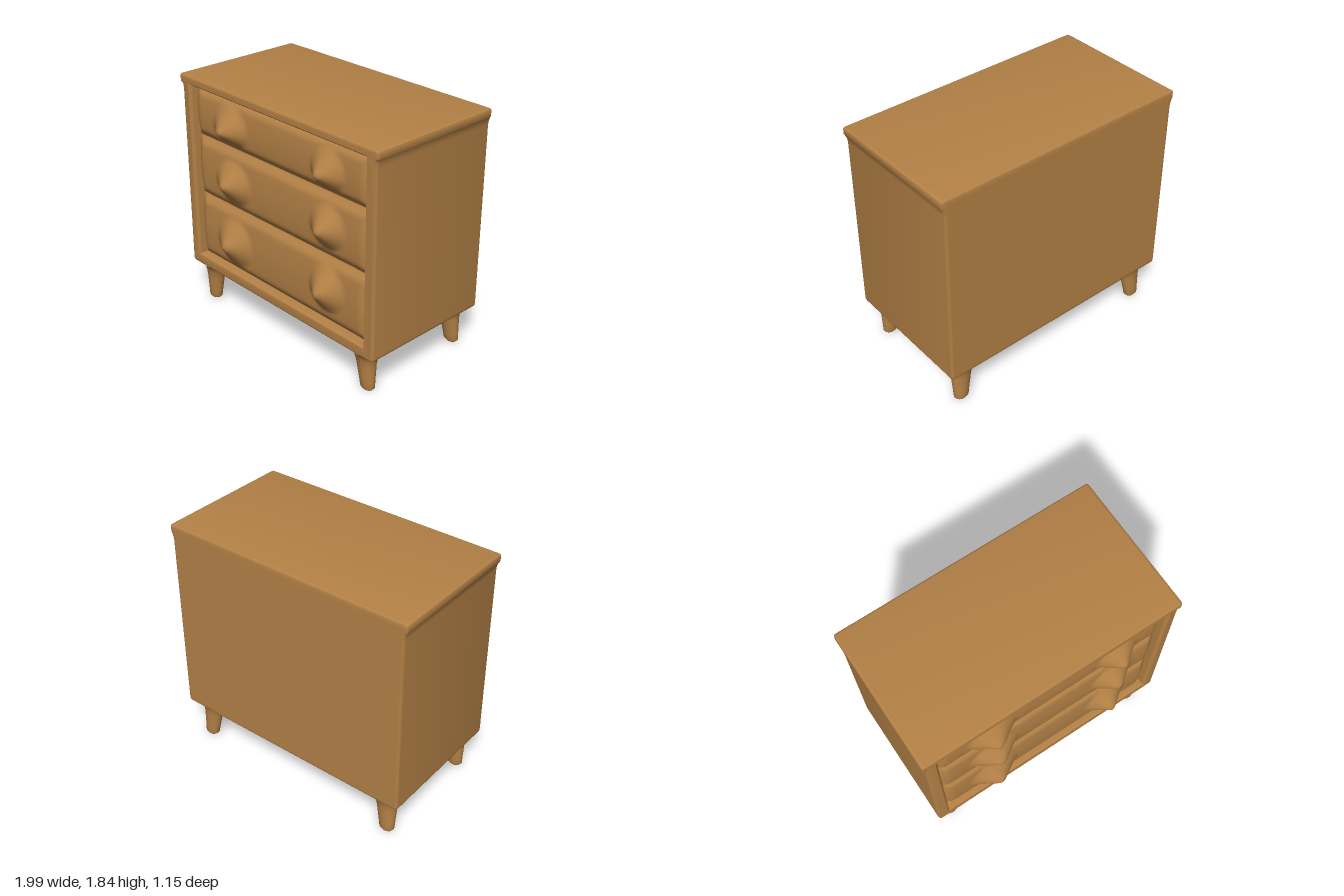
import * as THREE from 'three';
import { toCreasedNormals } from 'three/addons/utils/BufferGeometryUtils.js';

const wood = new THREE.MeshStandardMaterial({ color: 0xb48146 });
wood.name = 'warm wood';

const HOLE = { x: 0.885, bottom: 0.4, top: 1.765 };

function add(group, name, geometry) {
  const mesh = new THREE.Mesh(geometry, wood);
  mesh.name = name;
  group.add(mesh);
  return mesh;
}

// Cabinet shell: front outline with a flared top edge and an opening for the drawers
function shellGeometry() {
  const s = new THREE.Shape();
  s.moveTo(-0.95, 0.31);
  s.lineTo(0.95, 0.31);
  s.quadraticCurveTo(0.98, 0.31, 0.98, 0.345);
  s.lineTo(0.977, 1.72);
  s.quadraticCurveTo(0.98, 1.755, 0.996, 1.785);
  s.lineTo(0.996, 1.82);
  s.quadraticCurveTo(0.996, 1.838, 0.975, 1.838);
  s.lineTo(-0.975, 1.838);
  s.quadraticCurveTo(-0.996, 1.838, -0.996, 1.82);
  s.lineTo(-0.996, 1.785);
  s.quadraticCurveTo(-0.98, 1.755, -0.977, 1.72);
  s.lineTo(-0.98, 0.345);
  s.quadraticCurveTo(-0.98, 0.31, -0.95, 0.31);

  const hole = new THREE.Path();
  hole.moveTo(-HOLE.x, HOLE.bottom);
  hole.lineTo(-HOLE.x, HOLE.top);
  hole.lineTo(HOLE.x, HOLE.top);
  hole.lineTo(HOLE.x, HOLE.bottom);
  hole.closePath();
  s.holes.push(hole);

  const bevel = 0.018;
  const geo = new THREE.ExtrudeGeometry(s, {
    depth: 1.064 - 2 * bevel, curveSegments: 5,
    bevelEnabled: true, bevelSize: bevel, bevelThickness: bevel,
    bevelOffset: -bevel, bevelSegments: 3,
  });
  geo.translate(0, 0, -0.574 + bevel);
  // the top edge overhangs the front slightly
  const p = geo.attributes.position;
  for (let i = 0; i < p.count; i++) {
    if (p.getY(i) > 1.775 && p.getZ(i) > 0) p.setZ(i, p.getZ(i) + 0.01);
  }
  return toCreasedNormals(geo, 0.7);
}

// Pulls: [x, y, half width, reach below, reach above]
const pulls = [
  [-0.47, 1.54, 0.19, 0.13, 0.18], [0.52, 1.54, 0.16, 0.13, 0.17],
  [-0.46, 1.13, 0.20, 0.17, 0.17], [0.52, 1.14, 0.17, 0.16, 0.17],
  [-0.47, 0.64, 0.20, 0.19, 0.20], [0.51, 0.67, 0.17, 0.18, 0.19],
];

// Depth of a drawer front: sunken rim, soft bulge and a pointed pull
function drawerDepth(x, y, y0, y1) {
  const rim = Math.exp(-Math.pow((HOLE.x - Math.abs(x)) / 0.035, 2));
  const groove = Math.exp(-Math.pow(Math.min(y - y0, y1 - y) / 0.035, 2));
  const t = (y - y0) / (y1 - y0);
  let z = 0.452 + 0.016 * Math.sin(Math.PI * t) - 0.035 * Math.max(rim, groove);
  for (const [px, py, w, below, above] of pulls) {
    const d = Math.hypot((x - px) / w, (y - py) / (y < py ? below : above));
    if (d < 1) z += 0.112 * Math.min(1, 1.12 * Math.pow(1 - d, 1.15));
  }
  return z;
}

function drawerGeometry(y0, y1) {
  const geo = new THREE.PlaneGeometry(2 * HOLE.x, y1 - y0, 88, 28);
  geo.translate(0, (y0 + y1) / 2, 0);
  const p = geo.attributes.position;
  for (let i = 0; i < p.count; i++) {
    p.setZ(i, drawerDepth(p.getX(i), p.getY(i), y0, y1));
  }
  geo.computeVertexNormals();
  return geo;
}

// Tapered leg with a flared root, leaning by lean (x, z) towards the foot
function legGeometry(leanX, leanZ) {
  const profile = [
    [0.001, 0], [0.042, 0.003], [0.058, 0.02], [0.064, 0.08],
    [0.078, 0.2], [0.09, 0.26], [0.115, 0.297], [0.15, 0.325],
  ].map(([r, y]) => new THREE.Vector2(r, y));
  const geo = new THREE.LatheGeometry(profile, 20);
  const p = geo.attributes.position;
  for (let i = 0; i < p.count; i++) {
    const down = 1 - p.getY(i) / 0.31;
    p.setX(i, p.getX(i) + leanX * down);
    p.setZ(i, p.getZ(i) * 0.74 + leanZ * down);
  }
  geo.computeVertexNormals();
  return geo;
}

export function createModel() {
  const model = new THREE.Group();
  model.name = 'chest of drawers';

  add(model, 'cabinet', shellGeometry());

  // Back panel closing the cabinet
  const back = add(model, 'backPanel', new THREE.BoxGeometry(1.91, 1.46, 0.03));
  back.position.set(0, 1.074, -0.56);

  // Three drawer fronts, bottom to top
  const levels = [HOLE.bottom, 0.91, 1.38, HOLE.top];
  ['bottomDrawer', 'middleDrawer', 'topDrawer'].forEach((name, i) => {
    add(model, name, drawerGeometry(levels[i], levels[i + 1]));
  });

  // Four legs
  for (const side of [-1, 1]) {
    const label = side < 0 ? 'right' : 'left';
    const front = add(model, label + 'FrontLeg', legGeometry(side * 0.025, 0));
    front.position.set(side * 0.82, 0, 0.39);
    const rear = add(model, label + 'BackLeg', legGeometry(side * 0.025, -0.025));
    rear.position.set(side * 0.82, 0, -0.46);
  }
  return model;
}
